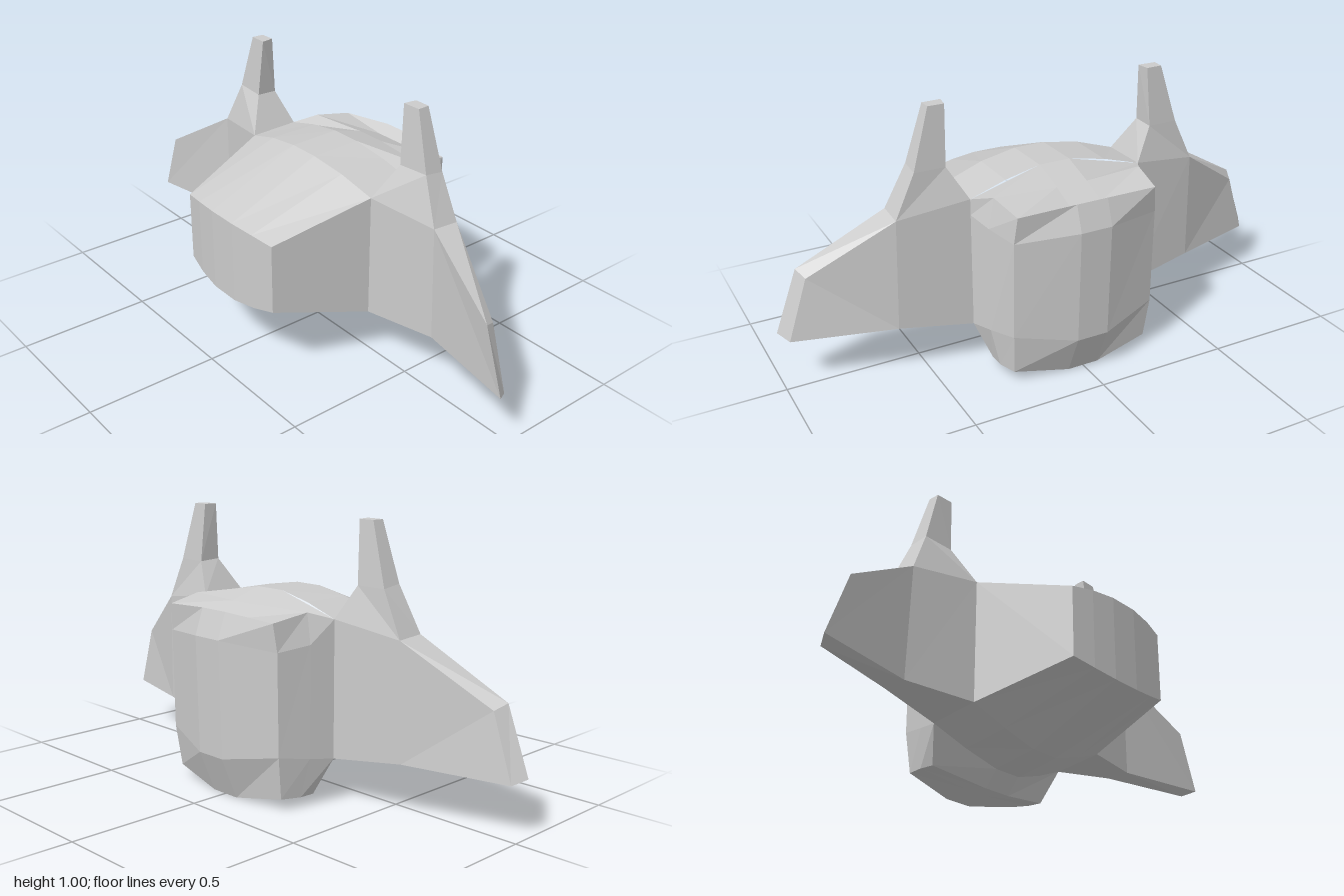
import * as THREE from 'three';

const material = new THREE.MeshStandardMaterial({ color: 0xcccccc, flatShading: true });

// Skin a list of point rows with quads; outward side is column direction x row direction.
function skin(rows, closed = false, flip = false) {
  const out = [];
  const n = rows[0].length;
  for (let r = 0; r < rows.length - 1; r++) {
    for (let c = 0; c < (closed ? n : n - 1); c++) {
      const k = (c + 1) % n;
      const a = rows[r][c], b = rows[r][k], d = rows[r + 1][c], e = rows[r + 1][k];
      for (const p of flip ? [a, e, b, a, d, e] : [a, b, e, a, e, d]) out.push(...p);
    }
  }
  const geometry = new THREE.BufferGeometry();
  geometry.setAttribute('position', new THREE.Float32BufferAttribute(out, 3));
  geometry.computeVertexNormals();
  return geometry;
}

function add(parent, name, geometry) {
  const mesh = new THREE.Mesh(geometry, material);
  mesh.name = name;
  parent.add(mesh);
}

const mirror = ([x, y, z]) => [-x, y, z];
// Half ring (centre out and back to centre) -> full closed ring
const ring = (half) => [...half, ...half.map(mirror).reverse()];
// Centre-to-side points -> full strip from -x to +x
const strip = (half) => [...half.map(mirror).reverse(), ...half];

function buildHull(group) {
  // Sections from nose to rear: top centre, top mid, top side, bottom side, bottom mid, bottom centre
  const sections = [
    [[0.06, 0.57, 0.43], [0.16, 0.563, 0.418], [0.25, 0.55, 0.4],
      [0.25, 0.29, 0.4], [0.16, 0.272, 0.418], [0.06, 0.26, 0.43]],
    [[0.06, 0.72, 0.065], [0.2, 0.698, 0.055], [0.34, 0.655, 0.04],
      [0.34, 0.195, 0.04], [0.2, 0.14, 0.055], [0.06, 0.098, 0.065]],
    [[0.06, 0.725, -0.13], [0.2, 0.7, -0.14], [0.34, 0.66, -0.15],
      [0.34, 0.167, -0.15], [0.2, 0.11, -0.13], [0.06, 0.065, -0.11]],
  ];
  add(group, 'hull', skin(sections.map(ring), true));
  const nose = sections[0];
  add(group, 'nosePanel', skin([strip(nose.slice(3).reverse()), strip(nose.slice(0, 3))]));
}

function buildRearPod(group) {
  // Levels from bottom to top: front centre, front side, mid side, back side, back centre
  const levels = [
    [[0.06, 0.003, -0.16], [0.29, 0.038, -0.2], [0.29, 0.04, -0.26], [0.27, 0.045, -0.335], [0.06, 0.003, -0.355]],
    [[0.06, 0.065, -0.11], [0.34, 0.167, -0.15], [0.315, 0.18, -0.24], [0.28, 0.2, -0.355], [0.06, 0.16, -0.42]],
    [[0.06, 0.6, -0.11], [0.34, 0.6, -0.15], [0.315, 0.58, -0.24], [0.28, 0.565, -0.36], [0.06, 0.585, -0.43]],
    [[0.06, 0.725, -0.13], [0.34, 0.66, -0.15], [0.29, 0.687, -0.23], [0.27, 0.665, -0.37], [0.06, 0.68, -0.396]],
  ];
  add(group, 'rearPod', skin(levels.map(ring), true));

  // Top deck sinks towards a slot behind the raised back rim
  const [tf, ts, tm, tb, tc] = levels[3];
  add(group, 'podDeck', skin([
    [tf, ts], [[0.06, 0.688, -0.255], tm], [[0.06, 0.65, -0.355], tb], [tc, tb],
  ].map(strip)));

  // Slightly hollow underside
  const [bf, bs, bm, bb, bc] = levels[0];
  add(group, 'podUnderside', skin([[bc, bb], [[0.06, 0.022, -0.26], bm], [bf, bs]].map(strip)));
}

function buildWing(parent, side) {
  const wing = new THREE.Group();
  wing.name = side > 0 ? 'leftWing' : 'rightWing';
  const place = (rows) => (side > 0 ? rows : rows.map((row) => row.map(mirror)));
  const loft = (name, rows) => {
    const [p0, p1, p2, p3] = rows[rows.length - 1];
    add(wing, name, skin(place(rows), true, side < 0));
    add(wing, name + 'Tip', skin(place([[p0, p1], [p3, p2]]), false, side < 0));
  };
  // Root to tip: top front, bottom front, bottom back, top back
  loft('wingPanel', [
    [[0.34, 0.655, 0.04], [0.34, 0.195, 0.04], [0.34, 0.167, -0.15], [0.34, 0.66, -0.15]],
    [[0.6, 0.627, -0.01], [0.61, 0.203, -0.015], [0.61, 0.2, -0.11], [0.6, 0.62, -0.115]],
    [[0.915, 0.44, 0.052], [1, 0.205, 0.056], [0.97, 0.187, 0.005], [0.895, 0.42, 0.002]],
  ]);
  // Upright fin from base to top: front inner, front outer, back outer, back inner
  loft('wingFin', [
    [[0.34, 0.655, 0.04], [0.6, 0.627, -0.01], [0.6, 0.62, -0.115], [0.34, 0.66, -0.15]],
    [[0.405, 0.785, -0.03], [0.525, 0.79, -0.035], [0.525, 0.78, -0.11], [0.41, 0.78, -0.112]],
    [[0.393, 1, -0.048], [0.462, 1, -0.05], [0.46, 1, -0.095], [0.4, 1, -0.096]],
  ]);
  parent.add(wing);
}

export function createModel() {
  const group = new THREE.Group();
  group.name = 'wingedCraft';
  buildHull(group);
  buildRearPod(group);
  for (const side of [1, -1]) buildWing(group, side);
  return group;
}
